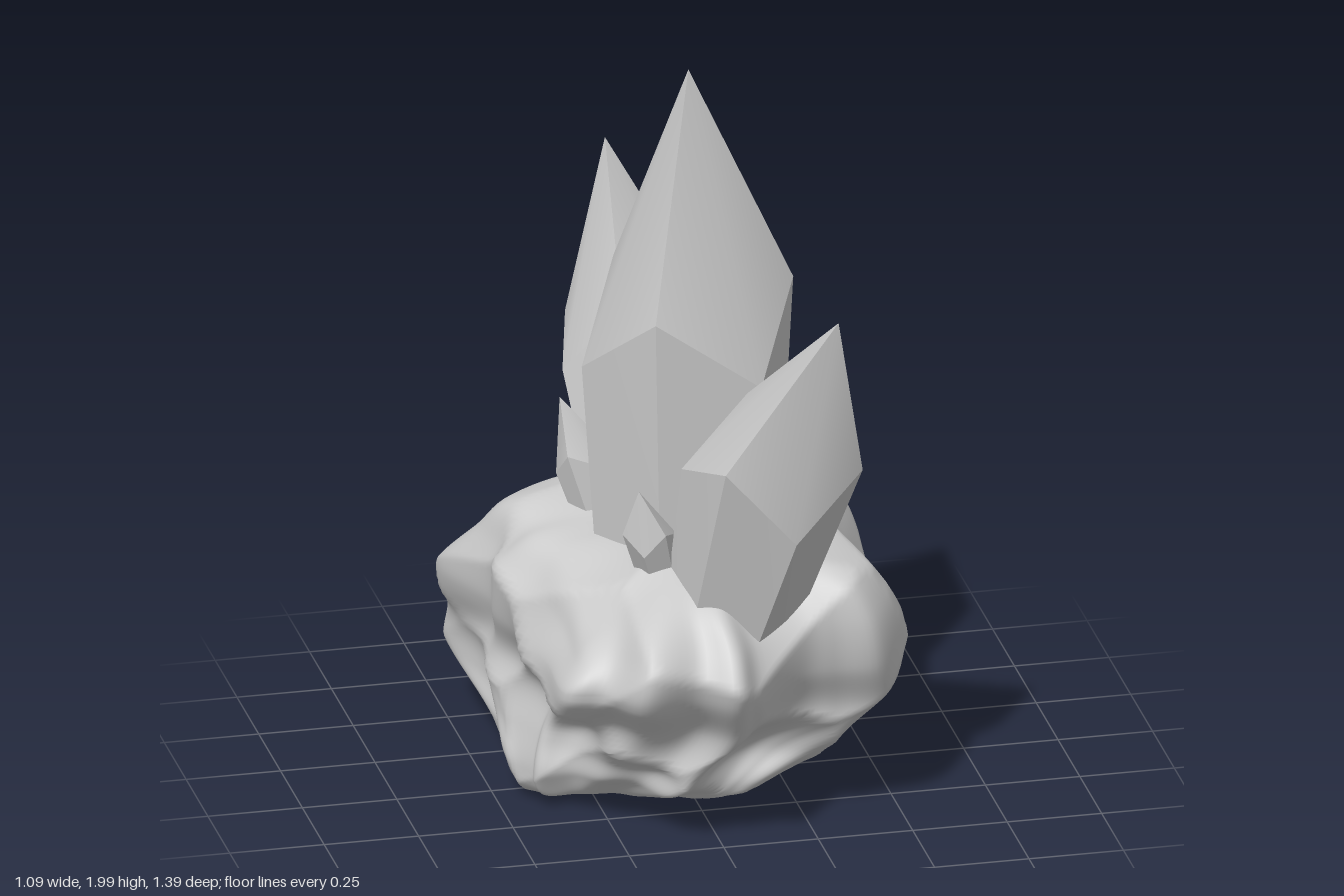
import * as THREE from 'three';

const { smoothstep } = THREE.MathUtils;
const grey = () => new THREE.MeshStandardMaterial({ color: 0xcccccc, side: THREE.DoubleSide });

// Outline of the rock seen from above, as x, z pairs
const OUTLINE = [
  [-.34, -.59], [-.22, -.56], [-.08, -.53], [.06, -.5], [.18, -.47], [.28, -.45], [.41, -.38], [.52, -.38],
  [.53, -.2], [.51, -.04], [.52, .06], [.51, .3], [.44, .48], [.32, .49], [.22, .5], [.08, .57],
  [0, .66], [-.1, .61], [-.24, .64], [-.32, .53], [-.43, .48], [-.43, .25], [-.45, .05], [-.5, -.1],
  [-.48, -.22], [-.53, -.42], [-.46, -.53],
];
// Levels of the rock: y, outline scale, shift in x, shift in z
const LEVELS = [
  [.06, 0, -.17, .02], [.04, .4, -.19, .02], [.11, .62, -.14, .04], [.2, .8, -.07, -.04], [.33, .95, .01, -.05],
  [.47, 1, 0, .01], [.61, .91, 0, .05], [.715, .73, -.02, .05], [.745, .42, -.01, .02], [.71, 0, 0, 0],
];

// Right-hand corners: the front one droops on top and is undercut, the back one stays full lower down
function shapeCorners(p) {
  const front = smoothstep(-p.x, .05, .4) * smoothstep(p.z, .05, .42);
  const back = smoothstep(-p.x, .1, .45) * smoothstep(-p.z, .12, .4);
  if (p.y > .47) p.y -= (p.y - .47) * .5 * front;
  p.z -= .2 * front * (1 - smoothstep(p.y, .22, .46));
  p.z -= .16 * back * (1 - smoothstep(p.y, .2, .42));
}

// Rock: outline swept through the levels, then scalloped into shallow bowls with raised rims
function rockGeometry() {
  const curve = (points, closed) => new THREE.CatmullRomCurve3(points, closed, 'catmullrom', .5);
  const rim = curve(OUTLINE.map(([x, z]) => new THREE.Vector3(x, 0, z)), true);
  const spine = curve(LEVELS.map(([y, , x, z]) => new THREE.Vector3(x, y, z)), false);
  const scale = curve(LEVELS.map(([, s]) => new THREE.Vector3(s, 0, 0)), false);
  const middle = new THREE.Vector3(0, .38, 0), radii = new THREE.Vector3(.52, .36, .58);

  // Bowl centres as directions spread evenly over a sphere
  const bowls = [];
  for (let i = 0, n = 22; i < n; i++) {
    const h = 1 - (2 * i + 1) / n, r = Math.sqrt(1 - h * h), a = i * 2.39996 + .6;
    bowls.push(new THREE.Vector3(r * Math.cos(a), h, r * Math.sin(a)));
  }

  const U = 180, V = 90, pos = [], index = [];
  for (let j = 0; j <= V; j++) {
    const c = spine.getPoint(j / V), s = Math.max(0, scale.getPoint(j / V).x);
    for (let i = 0; i < U; i++) {
      const p = rim.getPoint(i / U).multiplyScalar(s).add(c);
      shapeCorners(p);
      const out = p.clone().sub(middle).normalize();
      const facing = p.clone().sub(middle).divide(radii).normalize();
      const d = Math.min(...bowls.map((b) => b.distanceTo(facing)));
      p.addScaledVector(out, .26 * d * d - .03);
      pos.push(p.x, Math.max(0, p.y), p.z);
      if (j < V) {
        const a = j * U + i, b = j * U + (i + 1) % U;
        index.push(a, a + U, b, b, a + U, b + U);
      }
    }
  }
  const g = new THREE.BufferGeometry();
  g.setAttribute('position', new THREE.Float32BufferAttribute(pos, 3));
  g.setIndex(index);
  g.computeVertexNormals();
  return g;
}

// Crystal: tapered six-sided prism with a three-faced point; shoulder corners alternate up and down by step
function crystal(name, { base, shoulder, apex, r, taper = .8, phase = 0, step }) {
  const [b, s, tip] = [base, shoulder, apex].map((v) => new THREE.Vector3(...v));
  const turn = new THREE.Quaternion().setFromUnitVectors(
    new THREE.Vector3(0, 1, 0), s.clone().sub(b).normalize());
  const ring = (centre, radius, lift) => Array.from({ length: 6 }, (_, i) => {
    const a = THREE.MathUtils.degToRad(phase + 60 * i);
    return new THREE.Vector3(radius * Math.cos(a), i % 2 ? -lift : lift, radius * Math.sin(a))
      .applyQuaternion(turn).add(centre);
  });
  const low = ring(b, r * taper, 0), high = ring(s, r, step), points = [], index = [];
  // Each face keeps its own corners, so only its two halves share normals
  const quad = (...corners) => {
    const n = points.length;
    points.push(...corners);
    index.push(n, n + 1, n + 2, n, n + 2, n + 3);
  };
  const lowest = step > 0 ? 1 : 0;
  for (let i = 0; i < 6; i++) {
    const next = (i + 1) % 6, last = (i + 5) % 6;
    quad(low[i], high[i], high[next], low[next]);
    if (i % 2 === lowest) quad(high[i], high[last], tip, high[next]);
  }
  const g = new THREE.BufferGeometry().setFromPoints(points);
  g.setIndex(index);
  g.computeVertexNormals();
  const mesh = new THREE.Mesh(g, grey());
  mesh.name = name;
  return mesh;
}

export function createModel() {
  const group = new THREE.Group();
  group.name = 'crystalCluster';

  const rock = new THREE.Mesh(rockGeometry(), grey());
  rock.name = 'rockBase';
  group.add(rock);

  // Three large crystals
  group.add(
    crystal('mainCrystal', { base: [.01, .5, .04], shoulder: [.01, 1.29, .04], apex: [.01, 2, .05], r: .28, taper: .83, step: .1 }),
    crystal('frontCrystal', { base: [.03, .5, .34], shoulder: [.13, 1.05, .49], apex: [.26, 1.53, .69], r: .225, taper: .7, phase: 20, step: .075 }),
    crystal('backCrystal', { base: [0, .5, -.24], shoulder: [-.02, 1.06, -.45], apex: [-.04, 1.51, -.69], r: .21, taper: .7, phase: 48, step: -.07 }),
  );

  // Small crystals around the main one: base x, z and tip x, y, z
  const small = [
    [-.17, -.12, -.28, 1.02, -.17],
    [.19, -.16, .32, 1.01, -.29],
    [.21, .18, .34, 1.02, .27],
    [-.1, .26, -.19, .96, .35],
  ];
  small.forEach(([x, z, tx, ty, tz], i) => {
    const base = [x, .62, z], apex = [tx, ty, tz];
    const shoulder = base.map((v, k) => v + (apex[k] - v) * .6);
    group.add(crystal('smallCrystal' + (i + 1), { base, shoulder, apex, r: .068, taper: .75, phase: 20 * i, step: .025 }));
  });
  return group;
}
